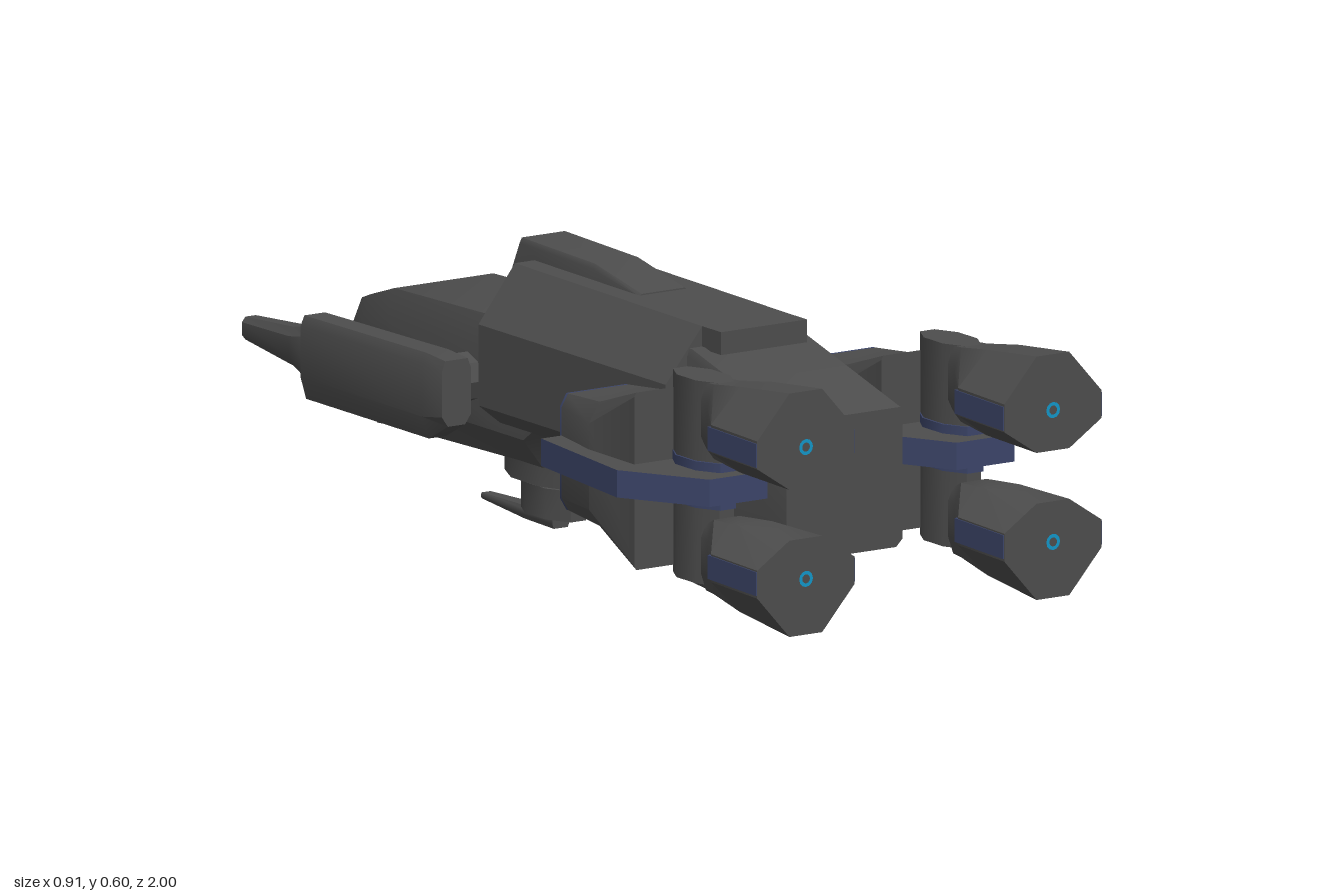
import * as THREE from 'three';
import { toCreasedNormals } from 'three/addons/utils/BufferGeometryUtils.js';

const material = (name, color) => {
  const m = new THREE.MeshStandardMaterial({ color });
  m.name = name;
  return m;
};

// Symmetric eight-sided cross-section, counter-clockwise seen from +z.
// w: half width, lo/hi: bottom and top, cLo/cHi: where the sides start and end
const oct = (z, w, lo, hi, wLo = w * 0.8, wHi = w * 0.8, cLo = lo + 0.03, cHi = hi - 0.03) => ({
  z,
  pts: [[wLo, lo], [w, cLo], [w, cHi], [wHi, hi], [-wHi, hi], [-w, cHi], [-w, cLo], [-wLo, lo]],
});

// Skin between sections listed by rising z, closed at both ends
function loft(sections, crease = 0.6) {
  const pos = [];
  const put = (s, i) => pos.push(s.pts[i][0], s.pts[i][1], s.z);
  const n = sections[0].pts.length;
  for (let k = 0; k < sections.length - 1; k++) {
    const a = sections[k], b = sections[k + 1];
    for (let i = 0; i < n; i++) {
      const j = (i + 1) % n;
      put(a, i); put(a, j); put(b, j);
      put(a, i); put(b, j); put(b, i);
    }
  }
  const first = sections[0], last = sections[sections.length - 1];
  for (let i = 1; i < n - 1; i++) {
    put(first, 0); put(first, i + 1); put(first, i);
    put(last, 0); put(last, i); put(last, i + 1);
  }
  const g = new THREE.BufferGeometry();
  g.setAttribute('position', new THREE.Float32BufferAttribute(pos, 3));
  return toCreasedNormals(g, crease);
}

export function createModel() {
  const grey = material('hullGrey', 0x4d4d4d);
  const blue = material('trimBlue', 0x3c4569);
  const cyan = material('glowCyan', 0x1296c8);
  const model = new THREE.Group();
  model.name = 'spaceship';

  const add = (name, geo, mat, x = 0, y = 0, z = 0, parent = model) => {
    const mesh = new THREE.Mesh(geo, mat);
    mesh.name = name;
    mesh.position.set(x, y, z);
    parent.add(mesh);
    return mesh;
  };
  // Box given by its limits
  const block = (name, mat, x0, x1, y0, y1, z0, z1, parent = model) =>
    add(name, new THREE.BoxGeometry(x1 - x0, y1 - y0, z1 - z0), mat,
      (x0 + x1) / 2, (y0 + y1) / 2, (z0 + z1) / 2, parent);
  // Eight-sided flat pod given by its limits
  const pod = (name, mat, w, y0, y1, z0, z1, x = 0, parent = model) => {
    const g = new THREE.CylinderGeometry(1, 1, 1, 8).rotateY(Math.PI / 8);
    const r = 1 / Math.cos(Math.PI / 8);
    g.scale(w * r, y1 - y0, ((z1 - z0) / 2) * r);
    return add(name, toCreasedNormals(g, 0.5), mat, x, (y0 + y1) / 2, (z0 + z1) / 2, parent);
  };

  // Hull: nose, middle and tail
  add('nose', loft([
    oct(-0.83, 0.1, 0.19, 0.385, 0.07, 0.075, 0.23, 0.33),
    oct(-0.77, 0.12, 0.15, 0.405, 0.08, 0.095, 0.21, 0.35),
    oct(-0.66, 0.135, 0.16, 0.44, 0.09, 0.115, 0.23, 0.38),
    oct(-0.27, 0.135, 0.17, 0.45, 0.09, 0.115, 0.23, 0.39),
    oct(-0.19, 0.135, 0.17, 0.45, 0.09, 0.115, 0.23, 0.39),
    oct(-0.12, 0.135, 0.255, 0.45, 0.09, 0.115, 0.28, 0.39),
  ]), grey);
  add('noseSlope', loft([
    oct(-0.36, 0.12, 0.4, 0.44, 0.12, 0.08, 0.41, 0.43),
    oct(-0.27, 0.16, 0.4, 0.555, 0.14, 0.1, 0.41, 0.46),
  ]), grey);
  add('middleHull', loft([
    oct(-0.27, 0.185, 0.25, 0.56, 0.135, 0.1, 0.29, 0.45),
    oct(0.37, 0.185, 0.25, 0.555, 0.135, 0.1, 0.29, 0.45),
  ]), grey);
  add('tailHull', loft([
    oct(0.17, 0.135, 0.25, 0.5, 0.1, 0.125, 0.28, 0.49),
    oct(0.24, 0.135, 0.155, 0.515, 0.1, 0.125, 0.17, 0.5),
    oct(0.38, 0.135, 0.15, 0.515, 0.1, 0.13, 0.17, 0.5),
    oct(0.71, 0.135, 0.155, 0.43, 0.12, 0.13, 0.17, 0.42),
  ]), grey);
  block('tailRoofPlate', grey, -0.1, 0.1, 0.51, 0.555, 0.3, 0.435);
  add('cockpit', loft([
    oct(-0.38, 0.055, 0.43, 0.47, 0.055, 0.05, 0.44, 0.46),
    oct(-0.32, 0.055, 0.43, 0.595, 0.055, 0.05, 0.44, 0.585),
    oct(-0.07, 0.055, 0.5, 0.59, 0.055, 0.05, 0.51, 0.58),
    oct(0.09, 0.055, 0.5, 0.56, 0.055, 0.05, 0.51, 0.555),
  ]), grey);

  // Belly bay and the two stepped gun turrets under the hull
  block('bellyBay', blue, -0.08, 0.08, 0.165, 0.22, -0.13, 0.23);
  block('bellyBayMount', grey, -0.06, 0.06, 0.21, 0.26, -0.12, 0.22);
  block('bellyBayPanel', grey, -0.055, 0.055, 0.161, 0.166, -0.09, 0.19);
  const turret = (name, y, z, top) => {
    const g = new THREE.Group();
    g.name = name;
    g.position.set(0, y, z);
    model.add(g);
    pod('turretBase', grey, 0.055, 0.09, top, -0.12, 0.12, 0, g);
    pod('turretBody', grey, 0.043, 0.024, 0.085, -0.07, 0.1, 0, g);
    pod('turretNeck', grey, 0.025, 0.07, 0.1, -0.04, 0.06, 0, g);
    add('turretBarrel', loft([
      oct(-0.215, 0.012, 0.012, 0.024, 0.01, 0.01, 0.015, 0.021),
      oct(-0.06, 0.02, 0.002, 0.028, 0.016, 0.016, 0.01, 0.022),
      oct(0.04, 0.02, 0, 0.03, 0.016, 0.016, 0.01, 0.024),
    ]), grey, 0, 0, 0, g);
    block('turretMuzzle', cyan, -0.009, 0.009, 0.014, 0.022, -0.219, -0.215, g);
  };
  turret('rearTurret', 0, 0.368, 0.16);
  turret('frontTurret', 0.027, -0.3, 0.15);

  // Wing outline seen from above, grey on its faces and blue along the edge
  const wing = new THREE.Shape([
    [0.1, 0.29], [0.42, 0.29], [0.455, 0.6], [0.355, 0.77], [0.22, 0.77], [0.12, 0.59],
  ].map(([x, z]) => new THREE.Vector2(x - 0.2875, -z)));
  const wingGeo = new THREE.ExtrudeGeometry(wing, { depth: 0.054, bevelEnabled: false }).rotateX(-Math.PI / 2);

  for (const s of [1, -1]) {
    const side = s > 0 ? 'left' : 'right';
    const cx = 0.2875 * s;

    // Nose cannon
    const gx = 0.219 * s;
    add(side + 'Cannon', loft([
      oct(-0.78, 0.033, 0.215, 0.38, 0.02, 0.024, 0.26, 0.36),
      oct(-0.36, 0.036, 0.215, 0.385, 0.02, 0.026, 0.26, 0.365),
      oct(-0.295, 0.034, 0.25, 0.38, 0.02, 0.026, 0.27, 0.36),
    ]), grey, gx);
    add(side + 'CannonBarrel', loft([
      oct(-1, 0.02, 0.29, 0.335, 0.012, 0.012, 0.3, 0.325),
      oct(-0.83, 0.027, 0.27, 0.347, 0.015, 0.015, 0.29, 0.33),
      oct(-0.77, 0.028, 0.245, 0.36, 0.016, 0.016, 0.28, 0.34),
    ]), grey, gx * 0.998);
    const cannonArm = new THREE.CylinderGeometry(0.05, 0.05, 0.08, 8).rotateZ(Math.PI / 2);
    add(side + 'CannonArm', toCreasedNormals(cannonArm, 0.5), grey, 0.16 * s, 0.32, -0.38);

    // Wing plate
    const plate = add(side + 'Wing', wingGeo, [grey, blue], cx, 0.305, 0);
    if (s < 0) plate.rotation.z = Math.PI, plate.position.y = 0.359;
    add(side + 'WingIntake', new THREE.BoxGeometry(0.06, 0.1, 0.05), blue, 0.17 * s, 0.37, 0.275);

    // Nacelle body with a blue front face
    add(side + 'Nacelle', loft([
      oct(0.29, 0.085, 0.21, 0.44, 0.07, 0.07, 0.235, 0.415),
      oct(0.42, 0.11, 0.205, 0.45, 0.085, 0.085, 0.24, 0.41),
      oct(0.578, 0.112, 0.15, 0.5, 0.107, 0.107, 0.158, 0.492),
    ]), grey, cx);
    add(side + 'NacelleFront', loft([
      oct(0.284, 0.085, 0.21, 0.44, 0.07, 0.07, 0.235, 0.415),
      oct(0.292, 0.085, 0.21, 0.44, 0.07, 0.07, 0.235, 0.415),
    ]), blue, cx);

    // Strut holding both engines, with collars at the wing
    pod(side + 'EngineStrut', grey, 0.04, 0.135, 0.535, 0.57, 0.73, cx);
    pod(side + 'StrutCollar', blue, 0.044, 0.285, 0.377, 0.57, 0.735, cx);

    // Upper and lower engines, flaring to the rear
    for (const [level, m] of [['Upper', 1], ['Lower', -1]]) {
      const e = new THREE.Group();
      e.name = side + level + 'Engine';
      e.position.set(cx, 0.328, 0);
      if (m < 0) e.rotation.z = Math.PI;
      model.add(e);
      add('engineBell', loft([
        oct(0.7, 0.04, 0.075, 0.205, 0.028, 0.028, 0.1, 0.17),
        oct(0.73, 0.045, 0.06, 0.207, 0.03, 0.03, 0.1, 0.165),
        oct(0.83, 0.105, 0.053, 0.222, 0.038, 0.038, 0.1, 0.155),
        oct(1, 0.113, 0.05, 0.24, 0.038, 0.038, 0.1, 0.155),
      ]), grey, 0, 0, 0, e);
      for (const t of [1, -1]) {
        const stripe = block('engineStripe', blue, -0.003, 0.003, 0.103, 0.15, 0.82, 0.999, e);
        stripe.position.x = 0.108 * t;
        stripe.rotation.y = 0.047 * t;
      }
      // Small exhaust light
      add('exhaustLight', new THREE.RingGeometry(0.009, 0.016, 12), cyan, 0, 0.13, 1.001, e);
    }
  }
  return model;
}
